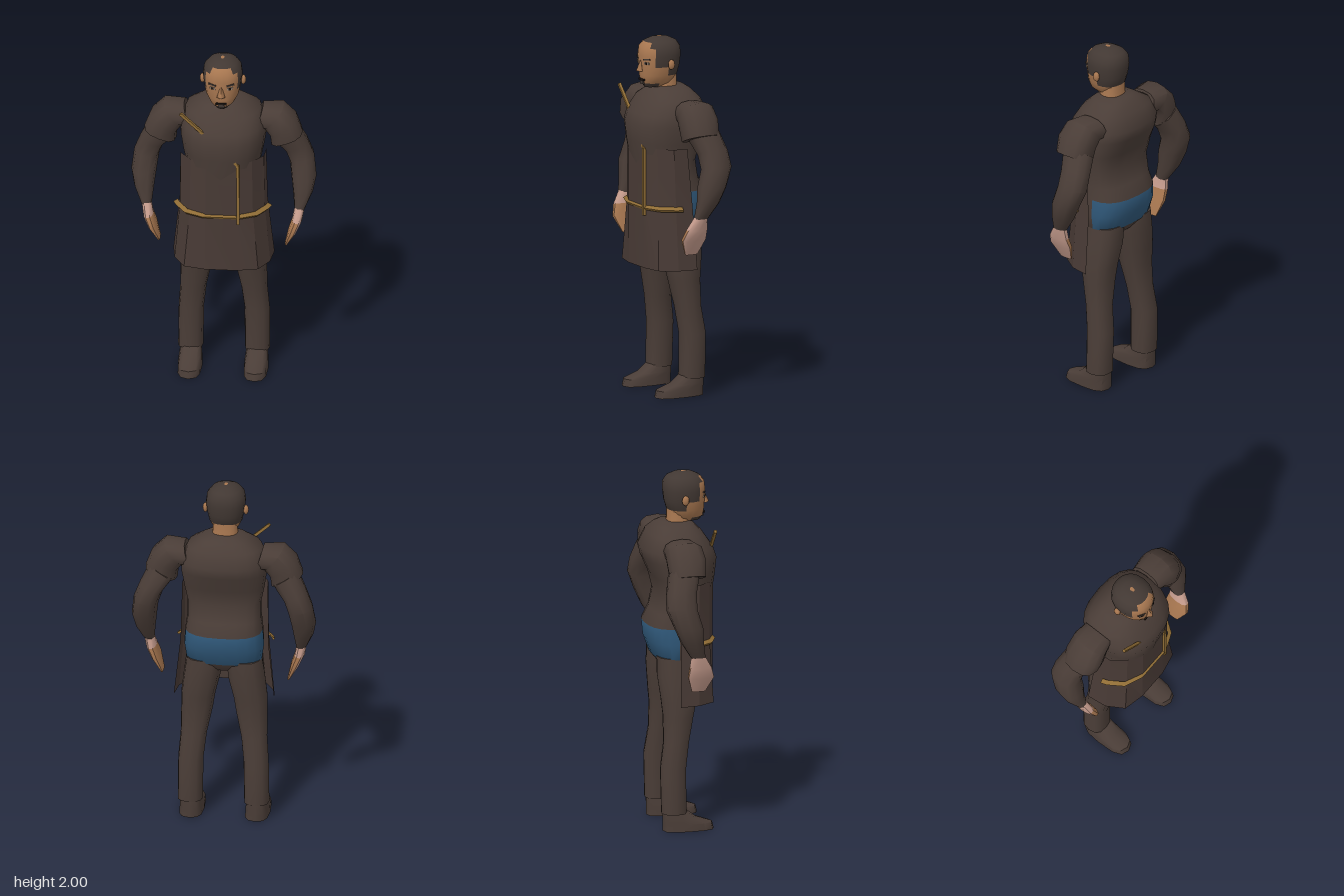
import * as THREE from 'three';
import { toCreasedNormals } from 'three/addons/utils/BufferGeometryUtils.js';

const mat = (name, color, side = THREE.FrontSide) =>
  Object.assign(new THREE.MeshStandardMaterial({ color, side }), { name });

export function createModel() {
  const cloth = mat('dark cloth', 0x4a3d37);
  const apronCloth = mat('apron cloth', 0x483a35, THREE.DoubleSide);
  const hair = mat('hair', 0x423833);
  const skin = mat('face skin', 0xa87750);
  const hand = mat('pale hand', 0xc69c8d);
  const blue = mat('blue cloth', 0x2f5778);
  const brass = mat('brass strap', 0x8f6c35, THREE.DoubleSide);
  const dark = mat('eye and mouth', 0x1c1512);
  const eyeWhite = mat('eye white', 0x9a8878);

  const model = new THREE.Group();
  model.name = 'apronedMan';

  const add = (name, geo, material, parent = model) => {
    const m = new THREE.Mesh(geo, material);
    m.name = name;
    parent.add(m);
    return m;
  };

  // Joins rows of points; pick chooses a material index for each face
  function surface(rows, closed, pick = () => 0, crease = 0.85) {
    const n = rows[0].length, pos = rows.flat(2), lists = [];
    const tri = (mi, ...ids) => (lists[mi] ??= []).push(...ids);
    for (let i = 0; i < rows.length - 1; i++) {
      for (let j = 0; j < (closed ? n : n - 1); j++) {
        const k = (j + 1) % n;
        const a = i * n + j, b = i * n + k, c = a + n, d = b + n;
        const corners = [rows[i][j], rows[i][k], rows[i + 1][j], rows[i + 1][k]];
        const mid = [0, 1, 2].map((q) => corners.reduce((t, p) => t + p[q] / 4, 0));
        const mi = pick(...mid, ((j + 0.5) / n) * Math.PI * 2);
        tri(mi, a, c, b, b, c, d);
      }
    }
    if (closed) {
      [0, rows.length - 1].forEach((r) => {
        const centre = pos.length / 3;
        pos.push(...[0, 1, 2].map((q) => rows[r].reduce((t, p) => t + p[q] / n, 0)));
        for (let j = 0; j < n; j++) {
          const a = r * n + j, b = r * n + ((j + 1) % n);
          r ? tri(0, a, centre, b) : tri(0, a, b, centre);
        }
      });
    }
    const geo = new THREE.BufferGeometry();
    geo.setAttribute('position', new THREE.Float32BufferAttribute(pos, 3));
    geo.setIndex(lists.flat());
    let start = 0;
    lists.forEach((l, mi) => { geo.addGroup(start, l.length, mi); start += l.length; });
    return toCreasedNormals(geo, crease);
  }

  // Cross-sections from bottom to top: [x, y, z, half width, front, back, tilt]
  function loft(rings, { s = 1, n = 16, power = 0.8, pick } = {}) {
    const bend = (v) => Math.sign(v) * Math.abs(v) ** power;
    const rows = rings.map(([x, y, z, w, f, b, t = 0]) =>
      Array.from({ length: n }, (_, j) => {
        const a = (j / n) * Math.PI * 2;
        const u = w * bend(Math.cos(a)), v = bend(Math.sin(a));
        return [s * x + u * Math.cos(t), y + u * Math.sin(s * t), z + v * (v > 0 ? f : b)];
      }));
    return surface(rows, true, pick);
  }
  const body = (rows, zm) => rows.map(([y, w, f, b]) => [0, y, zm, w, f - zm, zm - b]);

  // Torso, with the blue cloth round the back of the hips
  add('torso', loft(body([
    [0.91, 0.13, 0.04, -0.10], [0.965, 0.21, 0.09, -0.145], [1.06, 0.222, 0.13, -0.18],
    [1.15, 0.215, 0.15, -0.19], [1.22, 0.205, 0.17, -0.15], [1.32, 0.205, 0.185, -0.125],
    [1.42, 0.225, 0.2, -0.15], [1.52, 0.24, 0.21, -0.195], [1.58, 0.235, 0.19, -0.21],
    [1.66, 0.205, 0.135, -0.17], [1.705, 0.13, 0.09, -0.13], [1.725, 0.08, 0.06, -0.1],
  ], -0.04), { n: 20, pick: (x, y, z) => (y > 0.96 && y < 1.15 && z < -0.04 ? 1 : 0) }), [cloth, blue]);

  // Head and neck
  const head = new THREE.Group();
  head.name = 'head';
  model.add(head);
  add('neck', loft(body([[1.66, 0.085, 0.06, -0.07], [1.73, 0.07, 0.06, -0.06], [1.81, 0.068, 0.07, -0.06]], 0)), skin, head);
  add('skull', loft(body([
    [1.72, 0.04, 0.125, 0.03], [1.745, 0.07, 0.142, -0.02], [1.79, 0.092, 0.15, -0.06],
    [1.84, 0.102, 0.152, -0.075], [1.9, 0.11, 0.155, -0.082], [1.945, 0.104, 0.15, -0.08],
    [1.975, 0.08, 0.125, -0.06], [1.994, 0.045, 0.085, -0.02], [2.0, 0.01, 0.05, 0.02],
  ], 0.03), {
    n: 20, power: 0.9,
    pick: (x, y, z) => (y > 1.96 || (y > 1.93 && Math.abs(x) > 0.05) || (y > 1.85 && z < 0.09)
      || (y > 1.78 && z < 0.02) || (y < 1.74 && z > 0.06) ? 1 : 0),
  }), [skin, hair], head);
  const nose = add('nose', new THREE.ConeGeometry(0.024, 0.075, 4), skin, head);
  nose.position.set(0, 1.85, 0.153);
  nose.rotation.x = -0.12;
  const plate = (name, x, y, z, w, h, m, ry = 0, rz = 0) => {
    const p = add(name, new THREE.BoxGeometry(w, h, 0.008), m, head);
    p.position.set(x, y, z);
    p.rotation.set(0, ry, rz);
  };
  for (const s of [1, -1]) {
    plate('eye', s * 0.048, 1.862, 0.141, 0.034, 0.013, eyeWhite, s * 0.4);
    plate('pupil', s * 0.047, 1.862, 0.144, 0.014, 0.013, dark, s * 0.4);
    plate('eyebrow', s * 0.05, 1.884, 0.142, 0.045, 0.009, hair, s * 0.4, s * 0.12);
    const ear = add('ear', new THREE.SphereGeometry(0.026, 8, 6), skin, head);
    ear.scale.set(0.6, 1.1, 0.8);
    ear.position.set(s * 0.113, 1.855, 0.02);
  }
  plate('mouth', 0, 1.765, 0.146, 0.06, 0.01, dark);
  plate('chinBeard', 0, 1.748, 0.142, 0.035, 0.018, hair);

  // Arms and legs on both sides
  for (const s of [1, -1]) {
    const side = s > 0 ? 'left' : 'right';
    add(side + 'Arm', loft([
      [0.425, 1.04, 0.01, 0.03, 0.04, 0.04, 0.1], [0.44, 1.13, -0.02, 0.055, 0.055, 0.07, 0.05],
      [0.443, 1.22, -0.05, 0.07, 0.08, 0.08, 0], [0.43, 1.32, -0.08, 0.07, 0.08, 0.09, 0.2],
      [0.4, 1.4, -0.075, 0.068, 0.08, 0.09, 0.4], [0.34, 1.5, -0.05, 0.08, 0.09, 0.09, 0.6],
    ], { s, n: 10 }), cloth);
    add(side + 'Sleeve', loft([
      [0.35, 1.475, -0.03, 0.095, 0.1, 0.1, 0.36], [0.33, 1.55, -0.03, 0.09, 0.11, 0.11, 0.6],
      [0.28, 1.605, -0.03, 0.085, 0.1, 0.11, 0.9], [0.2, 1.6, -0.03, 0.07, 0.08, 0.1, 1.3],
    ], { s, n: 12 }), cloth);
    add(side + 'Hand', loft([
      [0.352, 0.83, 0.035, 0.008, 0.035, 0.045, -0.3], [0.388, 0.92, 0.035, 0.024, 0.075, 0.075, -0.3],
      [0.412, 0.98, 0.03, 0.028, 0.06, 0.065, -0.2], [0.425, 1.05, 0.01, 0.028, 0.038, 0.038, 0],
    ], { s, n: 10, pick: (x, y, z, a) => (y < 0.96 && s * Math.cos(a) < 0.1 ? 1 : 0) }), [hand, skin]);
    add(side + 'Leg', loft([
      [0.185, 0.1, -0.065, 0.07, 0.068, 0.072], [0.182, 0.35, -0.07, 0.07, 0.07, 0.073],
      [0.168, 0.5, -0.05, 0.073, 0.07, 0.07], [0.152, 0.65, -0.035, 0.088, 0.085, 0.085],
      [0.145, 0.74, -0.03, 0.095, 0.1, 0.1], [0.122, 0.87, -0.03, 0.103, 0.1, 0.115],
      [0.11, 0.98, -0.04, 0.1, 0.12, 0.105],
    ], { s, n: 12 }), cloth);
    add(side + 'Shoe', loft([
      [0.183, 0, 0, 0.068, 0.16, 0.13], [0.183, 0.04, 0, 0.066, 0.15, 0.13],
      [0.183, 0.07, -0.04, 0.062, 0.1, 0.09], [0.183, 0.12, -0.065, 0.055, 0.06, 0.065],
    ], { s, n: 12, power: 0.7 }), cloth);
  }

  // Half outlines [x, z], mirrored into a full row at height y
  const sweep = (y, half, k = 1) => [
    ...half.map(([x, z]) => [-x * k, y, z * k]).reverse(),
    ...half.map(([x, z]) => [x * k, y, z * k]),
  ];
  add('apron', surface([
    sweep(0.72, [[0.09, 0.18], [0.205, 0.155], [0.265, 0.06], [0.28, -0.05]]),
    sweep(1.07, [[0.085, 0.18], [0.175, 0.14], [0.235, 0.06], [0.243, -0.04]]),
    sweep(1.4, [[0.085, 0.182], [0.17, 0.14], [0.23, 0.07], [0.238, -0.01]]),
  ], false, undefined, 0.3), apronCloth);
  const belt = [[0.1, 0.187], [0.2, 0.145], [0.255, 0.065], [0.268, 0.03]];
  add('belt', surface([sweep(1.05, belt, 0.98), sweep(1.062, belt, 1.02), sweep(1.077, belt, 0.93)], false), brass);

  // Thin straps between two points
  const strap = (name, a, b, w) => {
    const p = new THREE.Vector3(...a), q = new THREE.Vector3(...b);
    const m = add(name, new THREE.BoxGeometry(w, p.distanceTo(q), w), brass);
    m.position.copy(p).add(q).multiplyScalar(0.5);
    m.quaternion.setFromUnitVectors(new THREE.Vector3(0, 1, 0), q.sub(p).normalize());
  };
  strap('chestPin', [-0.225, 1.7, 0.16], [-0.085, 1.57, 0.168], 0.016);
  strap('frontStrap', [0.097, 1.02, 0.186], [0.095, 1.4, 0.184], 0.016);
  strap('frontStrapTip', [0.095, 1.395, 0.184], [0.06, 1.43, 0.184], 0.014);
  return model;
}
